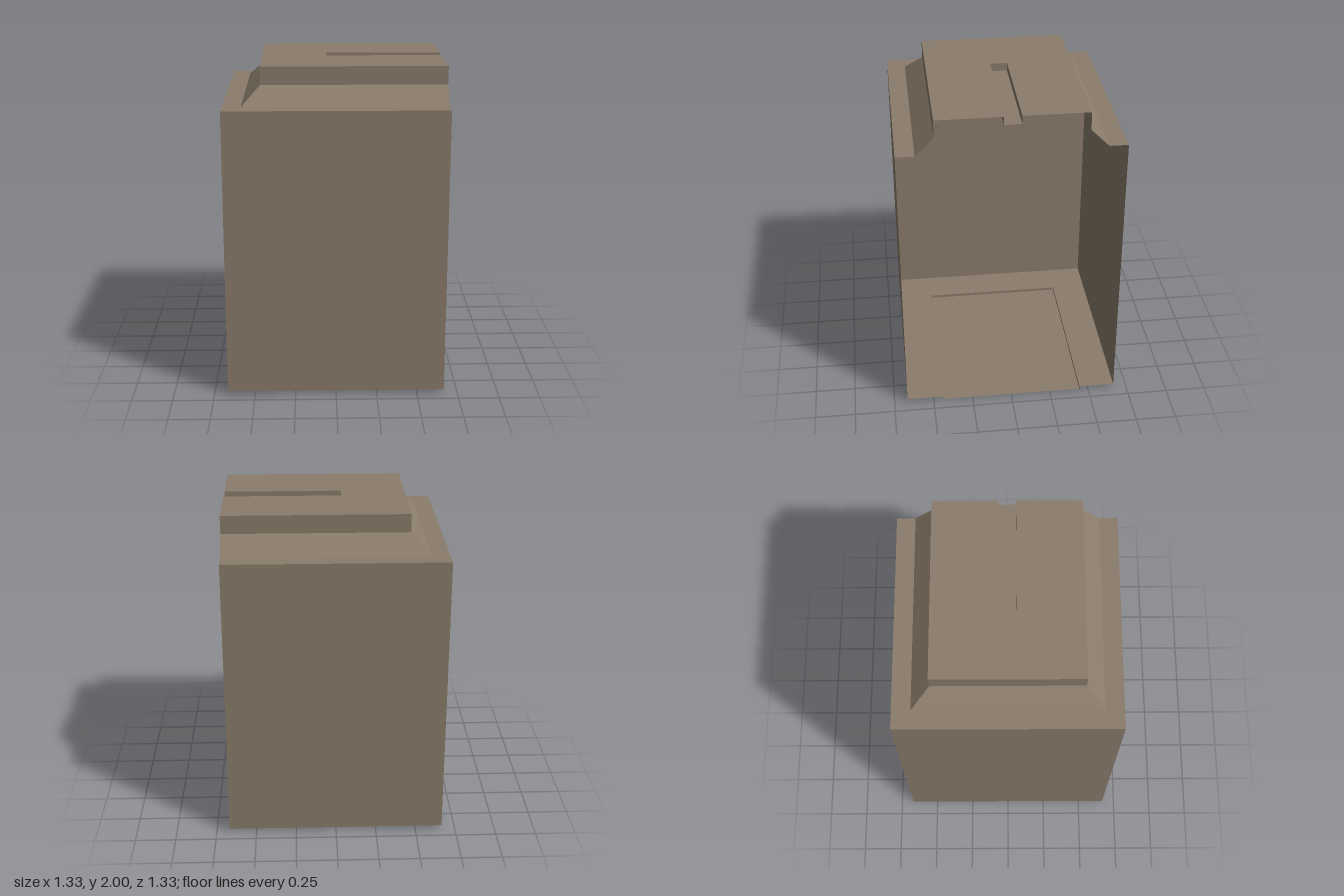
import * as THREE from 'three';

const OPEN_X = 0.667; // every part ends at the open +x side

// Three-sided wall strips through [halfSize, y] levels, listed from bottom to top
function wallStrips(levels) {
  const contour = (s, y) => [[OPEN_X, y, s], [-s, y, s], [-s, y, -s], [OPEN_X, y, -s]];
  const positions = [];
  for (let i = 0; i < levels.length - 1; i++) {
    const low = contour(...levels[i]);
    const high = contour(...levels[i + 1]);
    for (let k = 0; k < 3; k++) {
      const [a, b, c, d] = [low[k], low[k + 1], high[k + 1], high[k]];
      positions.push(...a, ...c, ...b, ...a, ...d, ...c);
    }
  }
  const geometry = new THREE.BufferGeometry();
  geometry.setAttribute('position', new THREE.Float32BufferAttribute(positions, 3));
  geometry.computeVertexNormals();
  return geometry;
}

// Flat horizontal sheet from an x/z outline, facing up or down
function sheet(outline, y, up = true) {
  const shape = new THREE.Shape(outline.map(([x, z]) => new THREE.Vector2(x, up ? -z : z)));
  const geometry = new THREE.ShapeGeometry(shape);
  geometry.rotateX(up ? -Math.PI / 2 : Math.PI / 2);
  return geometry.translate(0, y, 0);
}

export function createModel() {
  const model = new THREE.Group();
  const brown = new THREE.MeshStandardMaterial({ color: 0x8b7d6b, side: THREE.DoubleSide });
  brown.name = 'warm brown';

  const add = (name, geometry) => {
    const mesh = new THREE.Mesh(geometry, brown);
    mesh.name = name;
    model.add(mesh);
  };

  const body = 0.667, shoulder = 0.555, neck = 0.445;
  const slotEnd = -0.05, slotHalf = 0.052, slotY = 1.95, topY = 2;

  // Shallow tray under the body
  add('trayFloor', sheet([[-neck, -neck], [OPEN_X, -neck], [OPEN_X, neck], [-neck, neck]], 0, false));
  add('trayRim', wallStrips([[neck, 0], [neck, 0.02], [body, 0.02]]));

  // Main walls and the ledge on top of them
  add('bodyWalls', wallStrips([[body, 0.02], [body, 1.78]]));
  add('ledge', wallStrips([[body, 1.78], [shoulder, 1.78]]));

  // Sloped shoulder and upright neck
  add('shoulder', wallStrips([[shoulder, 1.78], [neck, 1.89]]));
  add('neck', wallStrips([[neck, 1.89], [neck, topY]]));

  // Top plate, cut by the slot
  add('topPlate', sheet([
    [-neck, -neck], [OPEN_X, -neck], [OPEN_X, -slotHalf], [slotEnd, -slotHalf],
    [slotEnd, slotHalf], [OPEN_X, slotHalf], [OPEN_X, neck], [-neck, neck],
  ], topY));

  // Slot floor and walls
  const slotLength = OPEN_X - slotEnd;
  const slotX = (OPEN_X + slotEnd) / 2;
  const depth = topY - slotY;
  add('slotFloor', sheet([
    [slotEnd, -slotHalf], [OPEN_X, -slotHalf], [OPEN_X, slotHalf], [slotEnd, slotHalf],
  ], slotY));
  for (const side of [-1, 1]) {
    const wall = new THREE.PlaneGeometry(slotLength, depth);
    if (side > 0) wall.rotateY(Math.PI);
    add(side > 0 ? 'slotFrontWall' : 'slotBackWall', wall.translate(slotX, topY - depth / 2, side * slotHalf));
  }
  add('slotEndWall', new THREE.PlaneGeometry(slotHalf * 2, depth)
    .rotateY(Math.PI / 2).translate(slotEnd, topY - depth / 2, 0));

  return model;
}
